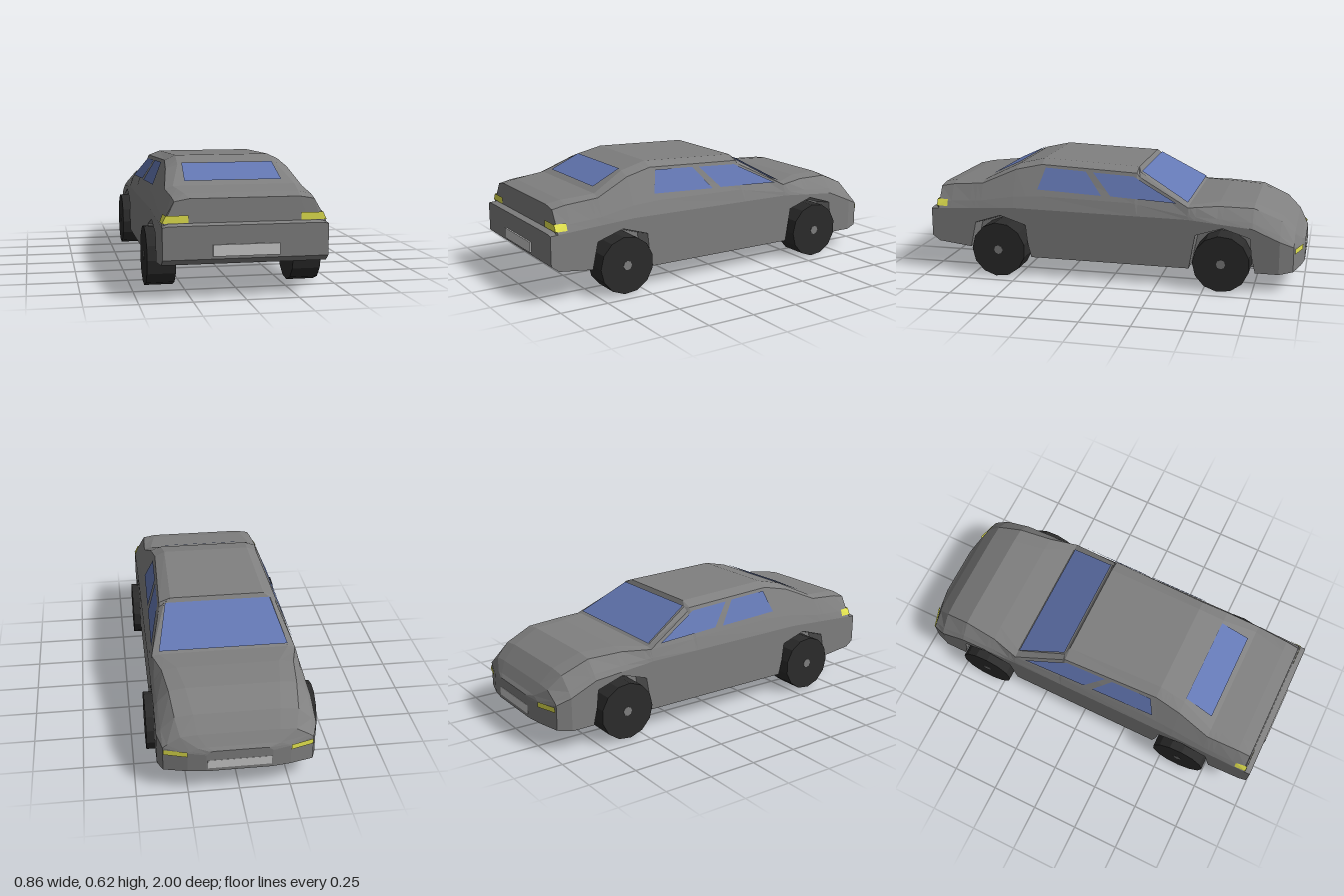
import * as THREE from 'three';

const mat = (color) => new THREE.MeshStandardMaterial({ color, flatShading: true, side: THREE.DoubleSide });

// Body lines as [z, value], tail (+z) to nose (-z)
const FLOOR = [[0.99, 0.195], [0.95, 0.165], [0.45, 0.105], [-0.88, 0.1], [-1, 0.12]];
const WIDTH = [[0.99, 0.39], [-0.88, 0.39], [-0.95, 0.365], [-0.985, 0.25], [-1, 0.16]];
const WAIST = [[0.99, 0.345], [0.53, 0.37], [-0.41, 0.36], [-0.74, 0.33], [-0.88, 0.27], [-0.95, 0.24], [-1, 0.215]];
const TOP = [
  [0.99, 0.35], [0.957, 0.358], [0.95, 0.47], [0.88, 0.485], [0.71, 0.5], [0.53, 0.585], [0.39, 0.618], [-0.13, 0.597],
  [-0.145, 0.575], [-0.41, 0.425], [-0.56, 0.435], [-0.74, 0.43], [-0.88, 0.37], [-0.95, 0.3], [-0.985, 0.25], [-1, 0.235],
];
const TOP_WIDTH = [
  [0.957, 0.3], [0.95, 0.26], [0.71, 0.3], [0.53, 0.25], [0.39, 0.24], [-0.13, 0.25],
  [-0.145, 0.285], [-0.41, 0.335], [-0.56, 0.26], [-0.95, 0.2], [-0.985, 0.16], [-1, 0.12],
];
const EDGE_WIDTH = [
  [0.957, 0.36], [0.95, 0.33], [0.71, 0.34], [0.53, 0.31], [0.39, 0.295], [-0.145, 0.312],
  [-0.41, 0.373], [-0.56, 0.335], [-0.88, 0.3], [-0.95, 0.28], [-0.985, 0.2], [-1, 0.14],
];
// Wheel arch height around each axle
const ARCH = [[0.17, 0], [0.14, 0.28], [0, 0.325], [-0.14, 0.28], [-0.17, 0]];
const AXLES = [0.6, -0.59];

function valueAt(line, z) {
  if (z >= line[0][0]) return line[0][1];
  const i = line.findIndex(([lz]) => lz <= z);
  if (i < 0) return line[line.length - 1][1];
  const [z0, v0] = line[i - 1], [z1, v1] = line[i];
  return v0 + ((v1 - v0) * (z - z0)) / (z1 - z0);
}

// Ring of points around the body at z, wheel arch cut included
function ringAt(z) {
  const [floor, w, waist, top, topW, edgeW] =
    [FLOOR, WIDTH, WAIST, TOP, TOP_WIDTH, EDGE_WIDTH].map((line) => valueAt(line, z));
  const lip = Math.max(floor, ...AXLES.map((axle) => valueAt(ARCH, z - axle)));
  const inner = Math.min(0.285, w * 0.8);
  const edgeY = top - (top - waist) * 0.1;
  const half = [
    [inner, floor], [inner, Math.max(floor, lip - 0.02)], [w, lip], [w, waist],
    [w - (w - edgeW) * 0.25, waist + (edgeY - waist) * 0.3], [edgeW, edgeY], [topW, top],
  ];
  const mirrored = half.map(([x, y]) => [-x, y]).reverse();
  return [...half, ...mirrored].map(([x, y]) => [x, y, z]);
}

function bodyGeometry() {
  const keys = [FLOOR, WIDTH, WAIST, TOP].flat().map(([z]) => z);
  const arches = AXLES.flatMap((axle) => ARCH.map(([dz]) => axle + dz));
  const stations = [...new Set([...keys, ...arches])].sort((a, b) => b - a);
  const rings = stations.map(ringAt);
  const n = rings[0].length, last = rings.length - 1, index = [];
  for (let i = 0; i < last; i++) {
    for (let j = 0; j < n; j++) {
      const a = i * n + j, b = i * n + ((j + 1) % n), c = b + n, d = a + n;
      index.push(a, d, b, b, d, c);
    }
  }
  // Tail and nose caps
  for (let j = 1; j < n - 1; j++) {
    index.push(0, j, j + 1, last * n, last * n + j + 1, last * n + j);
  }
  const indexed = new THREE.BufferGeometry();
  indexed.setAttribute('position', new THREE.Float32BufferAttribute(rings.flat(2), 3));
  indexed.setIndex(index);
  const g = indexed.toNonIndexed();
  g.computeVertexNormals();
  return g;
}

// Flat four-cornered panel
function panelGeometry([a, b, c, d]) {
  const g = new THREE.BufferGeometry();
  g.setAttribute('position', new THREE.Float32BufferAttribute([a, b, c, a, c, d].flat(), 3));
  g.computeVertexNormals();
  return g;
}

export function createModel() {
  const car = new THREE.Group();
  car.name = 'car';
  const paint = mat(0x808080), glass = mat(0x6478b4), lamp = mat(0xe6e650);
  const rubber = mat(0x2c2c2c), grey = mat(0xcccccc);
  const add = (name, geometry, material, x = 0, y = 0, z = 0) => {
    const m = new THREE.Mesh(geometry, material);
    m.name = name;
    m.position.set(x, y, z);
    car.add(m);
  };
  const addPanel = (name, corners, material) => add(name, panelGeometry(corners), material);

  add('body', bodyGeometry(), paint);

  // Front and rear glass
  addPanel('windshield', [
    [0.335, 0.438, -0.403], [-0.335, 0.438, -0.403], [-0.28, 0.58, -0.15], [0.28, 0.58, -0.15]], glass);
  addPanel('rearWindow', [
    [-0.24, 0.52, 0.685], [0.24, 0.52, 0.685], [0.23, 0.592, 0.53], [-0.23, 0.592, 0.53]], glass);

  // Side windows as [z, y], laid on the sloping cabin side
  const sideWindows = {
    rearSideWindow: [[0.4, 0.47], [0.365, 0.58], [0.145, 0.57], [0.05, 0.455]],
    frontSideWindow: [[0.105, 0.567], [-0.115, 0.556], [-0.35, 0.438], [0, 0.455]],
  };
  for (const s of [1, -1]) {
    for (const [name, outline] of Object.entries(sideWindows)) {
      addPanel(name, outline.map(([z, y]) => [s * (0.366 - (y - 0.45) * 0.442), y, z]), glass);
    }
    // Lamps wrap round the tail corners and sit on the slanted nose corners
    addPanel('tailLamp', [
      [s * 0.265, 0.36, 0.961], [s * 0.388, 0.36, 0.961], [s * 0.37, 0.395, 0.961], [s * 0.265, 0.395, 0.961]], lamp);
    addPanel('tailLampSide', [
      [s * 0.388, 0.36, 0.961], [s * 0.39, 0.36, 0.9], [s * 0.377, 0.395, 0.9], [s * 0.37, 0.395, 0.961]], lamp);
    addPanel('headLamp', [
      [s * 0.362, 0.205, -0.957], [s * 0.25, 0.205, -0.991], [s * 0.25, 0.232, -0.991], [s * 0.362, 0.232, -0.957]], lamp);

    // Wheels with small hubs
    for (const z of AXLES) {
      const tyre = new THREE.CylinderGeometry(0.147, 0.147, 0.14, 13).rotateZ(Math.PI / 2);
      add('wheel', tyre, rubber, s * 0.36, 0.147, z);
      const hub = new THREE.CylinderGeometry(0.024, 0.024, 0.144, 8).rotateZ(Math.PI / 2);
      add('hub', hub, paint, s * 0.36, 0.147, z);
    }
  }

  // Plates
  add('rearPlate', new THREE.BoxGeometry(0.315, 0.054, 0.02), grey, 0, 0.235, 0.988);
  add('frontPlate', new THREE.BoxGeometry(0.31, 0.045, 0.016), grey, 0, 0.16, -0.993);
  return car;
}
